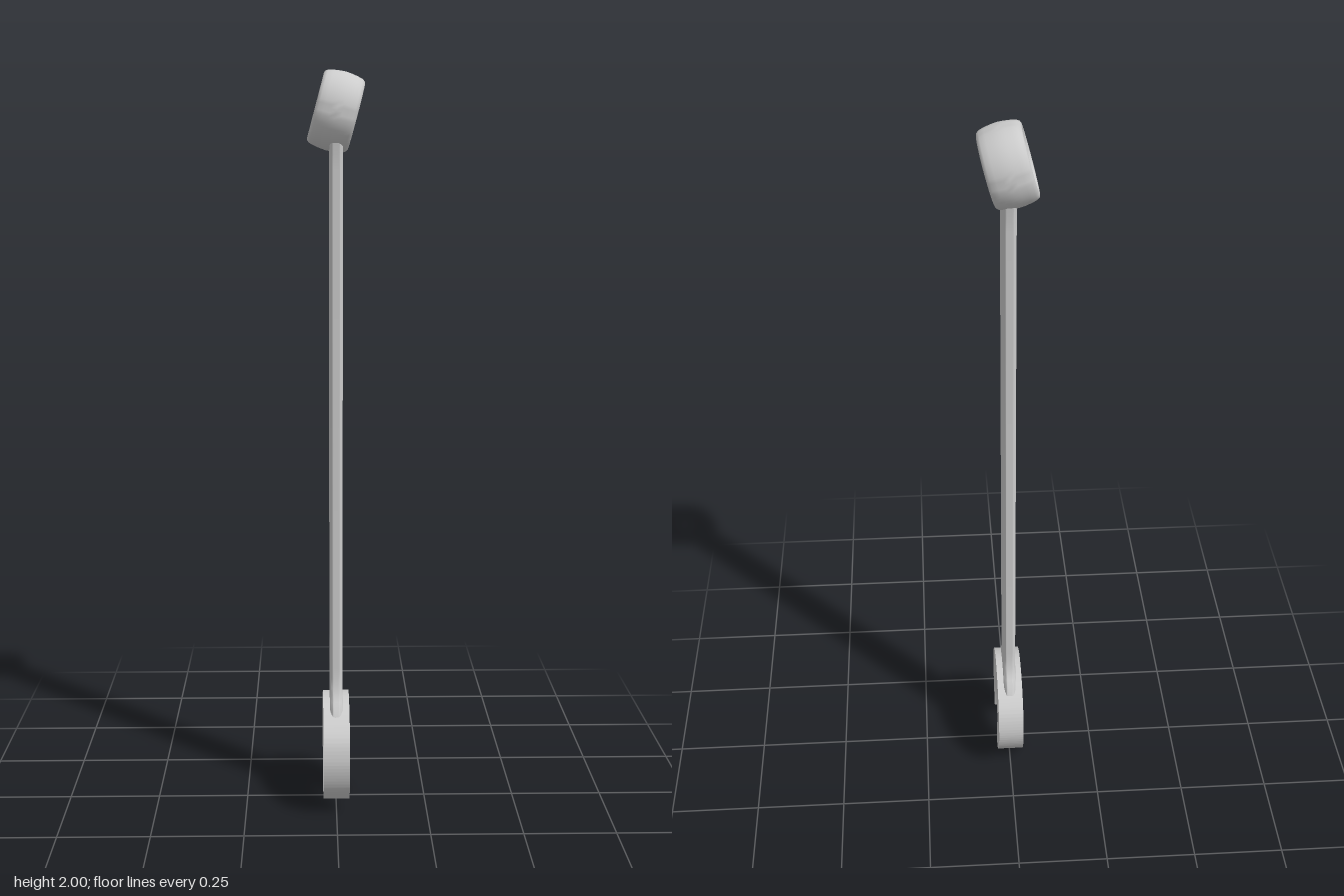
import * as THREE from 'three';
import { toCreasedNormals } from 'three/addons/utils/BufferGeometryUtils.js';

const TILT = THREE.MathUtils.degToRad(15);
const material = new THREE.MeshStandardMaterial({ color: 0xcccccc });

function part(name, geometry, crease = 0.6) {
  const mesh = new THREE.Mesh(toCreasedNormals(geometry, crease), material);
  mesh.name = name;
  return mesh;
}

const vectors = (points) => points.map(([x, y]) => new THREE.Vector2(x, y));

// Open jaw: rounded head with a slot leaning 15 degrees, extruded across x
function openJaw() {
  const shape = new THREE.Shape();
  shape.moveTo(0.021, 0.002);
  shape.splineThru(vectors([
    [0.074, 0.024], [0.125, 0.075], [0.152, 0.125], [0.157, 0.175], [0.14, 0.23],
    [0.1, 0.273], [0.05, 0.298], [0, 0.306], [-0.05, 0.298], [-0.1, 0.273],
    [-0.143, 0.228], [-0.158, 0.175], [-0.154, 0.125], [-0.135, 0.078], [-0.097, 0.036],
  ]));
  shape.lineTo(-0.065, 0.145);
  shape.splineThru(vectors([[-0.053, 0.166], [-0.03, 0.175], [-0.002, 0.174], [0.03, 0.162], [0.05, 0.145], [0.053, 0.13]]));
  const geometry = new THREE.ExtrudeGeometry(shape, { depth: 0.072, bevelEnabled: false, curveSegments: 48 });
  geometry.translate(0, 0, -0.036);
  geometry.rotateY(Math.PI / 2);
  return part('openJaw', geometry);
}

// Shank: flat bar with rounded edges, flaring into both heads
function shank() {
  const t = 0.0175, w = 0.059, r = 0.0135;
  const section = new THREE.Shape();
  section.moveTo(t, -w + r);
  section.lineTo(t, w - r);
  section.absarc(t - r, w - r, r, 0, Math.PI / 2);
  section.absarc(-t + r, w - r, r, Math.PI / 2, Math.PI);
  section.absarc(-t + r, -w + r, r, Math.PI, Math.PI * 1.5);
  section.absarc(t - r, -w + r, r, Math.PI * 1.5, Math.PI * 2);
  // Height, width factor
  const levels = [
    [0.27, 1.75], [0.295, 1.55], [0.31, 1.36], [0.325, 1.2], [0.345, 1.09],
    [0.37, 1.02], [0.4, 1], [1.75, 1], [1.785, 1.02], [1.82, 1.1],
  ];
  const steps = levels.length - 1;
  const geometry = new THREE.ExtrudeGeometry(section, { depth: steps, steps, bevelEnabled: false, curveSegments: 8 });
  const position = geometry.attributes.position;
  for (let i = 0; i < position.count; i++) {
    const [height, width] = levels[Math.round(position.getZ(i))];
    position.setY(i, position.getY(i) * width);
    position.setZ(i, height);
  }
  geometry.rotateX(-Math.PI / 2);
  return part('shank', geometry);
}

// Ring end: barrel shell around a twelve-point socket, tilted 15 degrees
function ringEnd() {
  const group = new THREE.Group();
  group.name = 'ringEnd';

  const half = [[0.066, 0.046], [0.076, 0.054], [0.086, 0.0545], [0.091, 0.0525], [0.0955, 0.046], [0.099, 0.032], [0.1015, 0.015]];
  const profile = [...half.map(([r, y]) => [r, -y]), [0.1025, 0], ...half.slice().reverse()];
  group.add(part('ringShell', new THREE.LatheGeometry(vectors(profile), 64)));

  const shape = new THREE.Shape().absarc(0, 0, 0.08, 0, Math.PI * 2);
  const star = [];
  for (let i = 0; i < 24; i++) {
    const angle = (i / 24) * Math.PI * 2;
    const radius = i % 2 ? 0.0605 : 0.068;
    star.push([Math.cos(angle) * radius, Math.sin(angle) * radius]);
  }
  shape.holes.push(new THREE.Path(vectors(star)));
  const socket = new THREE.ExtrudeGeometry(shape, { depth: 0.092, bevelEnabled: false, curveSegments: 32 });
  socket.translate(0, 0, -0.046);
  socket.rotateX(-Math.PI / 2);
  group.add(part('twelvePointSocket', socket, 0.3));

  group.rotation.z = -Math.PI / 2 - TILT;
  group.position.y = 1.896;
  return group;
}

export function createModel() {
  const model = new THREE.Group();
  model.name = 'combinationWrench';
  const bar = shank();
  const ring = ringEnd();
  bar.position.z = ring.position.z = -0.003;
  model.add(openJaw(), bar, ring);
  return model;
}
